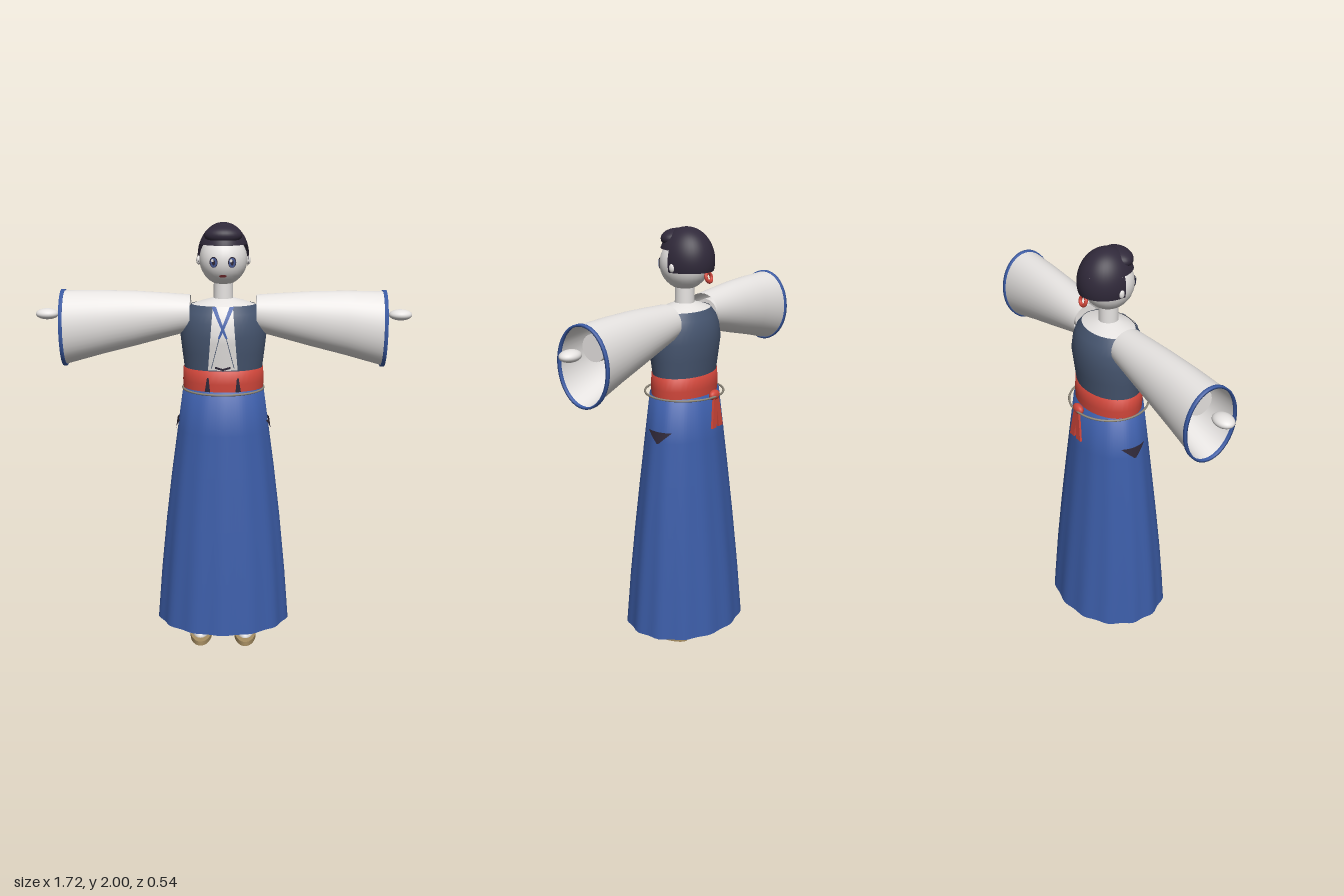
import * as THREE from 'three';

const mat = (name, color, double) => {
  const m = new THREE.MeshStandardMaterial({ color });
  m.name = name;
  if (double) m.side = THREE.DoubleSide;
  return m;
};

// Smooth skin over elliptical rings [y, rx, rz, xOffset]; flute adds folds at the low end
function loft(rings, n = 40, flute = 0, folds = 14) {
  const pos = [], idx = [];
  rings.forEach(([y, rx, rz, ox = 0], i) => {
    for (let j = 0; j < n; j++) {
      const a = (j / n) * Math.PI * 2;
      const f = 1 + flute * (1 - i / (rings.length - 1)) * Math.cos(a * folds);
      pos.push(ox + rx * f * Math.sin(a), y, rz * f * Math.cos(a));
      if (i < rings.length - 1) {
        const k = (j + 1) % n, p = i * n, q = p + n;
        idx.push(p + j, p + k, q + k, p + j, q + k, q + j);
      }
    }
  });
  const g = new THREE.BufferGeometry();
  g.setAttribute('position', new THREE.Float32BufferAttribute(pos, 3));
  g.setIndex(idx);
  g.computeVertexNormals();
  return g;
}

// Radii of a lofted body at height y
function radiiAt(rings, y) {
  let i = 0;
  while (i < rings.length - 2 && rings[i + 1][0] < y) i++;
  const a = rings[i], b = rings[i + 1], t = (y - a[0]) / (b[0] - a[0]);
  return [a[1] + (b[1] - a[1]) * t, a[2] + (b[2] - a[2]) * t];
}

// Thin four-cornered patch laid on a surface z = depth(x, y); corners run counterclockwise
function patch(depth, c, n = 8) {
  const g = new THREE.PlaneGeometry(1, 1, n, n), p = g.attributes.position;
  const mix = (k, u, v) => (c[0][k] * (1 - u) + c[1][k] * u) * (1 - v) + (c[3][k] * (1 - u) + c[2][k] * u) * v;
  for (let i = 0; i < p.count; i++) {
    const u = p.getX(i) + 0.5, v = p.getY(i) + 0.5;
    const x = mix(0, u, v), y = mix(1, u, v);
    p.setXYZ(i, x, y, depth(x, y));
  }
  g.computeVertexNormals();
  return g;
}

export function createModel() {
  const root = new THREE.Group();
  const white = mat('white', 0xe6e3e1, true), blue = mat('blue', 0x3c5da8, true);
  const slate = mat('slate', 0x46556f, true), red = mat('red', 0xd0463a, true);
  const dark = mat('dark', 0x30293a, true), tan = mat('tan', 0xa88f63);
  const iris = mat('iris', 0x4a5c98, true), cordGrey = mat('cordGrey', 0x8b8578);
  const lip = mat('lip', 0x9c3c40, true);

  const add = (name, geo, m, x = 0, y = 0, z = 0, parent = root) => {
    const mesh = new THREE.Mesh(geo, m);
    mesh.name = name;
    mesh.position.set(x, y, z);
    parent.add(mesh);
    return mesh;
  };
  const ball = (name, m, r, p, parent) => {
    const mesh = add(name, new THREE.SphereGeometry(1, 28, 20), m, ...p, parent);
    mesh.scale.set(...r);
    return mesh;
  };

  // Skirt with soft folds and closed hem
  const skirt = [[0.1, 0, 0], [0.1, 0.318, 0.265], [0.1, 0.318, 0.265], [0.35, 0.298, 0.244],
    [0.6, 0.273, 0.218], [0.85, 0.243, 0.191], [1.05, 0.215, 0.17], [1.25, 0.187, 0.148], [1.25, 0, 0]];
  add('skirt', loft(skirt, 84, 0.02), blue);

  // Sash, vest and shoulder yoke
  const sash = [[1.23, 0.184, 0.135], [1.285, 0.187, 0.137], [1.345, 0.184, 0.135], [1.345, 0.15, 0.1]];
  add('sash', loft(sash), red);
  const vest = [[1.33, 0.178, 0.128], [1.42, 0.189, 0.14], [1.5, 0.198, 0.15], [1.56, 0.19, 0.142],
    [1.6, 0.175, 0.128], [1.635, 0.145, 0.105]];
  add('vest', loft(vest), slate);
  add('yoke', loft([[1.632, 0.146, 0.106], [1.648, 0.1, 0.078], [1.662, 0.045, 0.042]]), white);
  add('neck', new THREE.CylinderGeometry(0.043, 0.045, 0.12, 28), white, 0, 1.7, 0);

  // Shirt front, crossed collar bands and belt slits
  const on = (rings, lift) => (x, y) => {
    const [rx, rz] = radiiAt(rings, y);
    return rz * Math.sqrt(Math.max(0, 1 - (x / rx) ** 2)) + lift;
  };
  add('shirtFront', patch(on(vest, 0.003), [[-0.067, 1.35], [0.067, 1.35], [0.045, 1.635], [-0.045, 1.635]], 14), white);
  for (const s of [-1, 1]) {
    const flip = (c) => (s > 0 ? c : c.map(([x, y]) => [-x, y]).reverse());
    add('collarBand', patch(on(vest, s > 0 ? 0.006 : 0.007),
      flip([[-0.022, 1.5], [-0.012, 1.5], [0.05, 1.635], [0.03, 1.635]])), blue);
    add('shirtEdge', patch(on(vest, 0.005), flip([[0.012, 1.51], [0.05, 1.36], [0.053, 1.36], [0.015, 1.51]])), slate);
    add('shirtHem', patch(on(vest, 0.008), flip([[0, 1.35], [0.035, 1.36], [0.035, 1.37], [0, 1.36]])), dark);
    add('sashSlit', patch(on(sash, 0.004), flip([[0.057, 1.245], [0.083, 1.245], [0.072, 1.315], [0.064, 1.315]])), dark);

    // Dark side opening of the skirt
    const side = (u, y) => {
      const [rx, rz] = radiiAt(skirt, y);
      return rx * 1.015 * Math.sqrt(1 - (u / rz) ** 2) + 0.004;
    };
    add('sideOpening', patch(side, [[-0.004, 1.045], [0.004, 1.045], [0.063, 1.1], [-0.063, 1.1]]), dark)
      .rotation.y = s * Math.PI / 2;
  }

  // Loose cord round the waist
  const cord = add('waistCord', new THREE.TorusGeometry(0.18, 0.005, 8, 64), cordGrey, 0, 1.247, 0.002);
  cord.rotation.x = Math.PI / 2;
  cord.scale.x = 1.04;

  // Knot and tails at the back
  ball('knot', red, [0.034, 0.024, 0.02], [0, 1.25, -0.163]);
  for (const s of [-1, 1]) {
    const tail = new THREE.Shape([[0, 0], [0.02, -0.01], [0.044, -0.15], [0.01, -0.15], [-0.008, -0.01]]
      .map(([x, y]) => new THREE.Vector2(x * s, y)));
    add('sashTail', new THREE.ExtrudeGeometry(tail, { depth: 0.01, bevelEnabled: false }), red, 0, 1.25, -0.175)
      .rotation.x = 0.06;
  }

  // Arms: wide sleeve, trim, forearm and hand
  const sleeve = [[0.15, 0.083, 0.085, -1.592], [0.25, 0.1, 0.092, -1.582], [0.4, 0.125, 0.101, -1.566],
    [0.56, 0.147, 0.112, -1.547], [0.73, 0.17, 0.123, -1.522]];
  const trim = [[0.722, 0.168, 0.121, -1.522], [0.722, 0.176, 0.129, -1.522], [0.738, 0.176, 0.129, -1.522],
    [0.738, 0.166, 0.119, -1.522], [0.722, 0.168, 0.121, -1.522]];
  for (const s of [1, -1]) {
    const arm = new THREE.Group();
    arm.name = s > 0 ? 'leftArm' : 'rightArm';
    arm.rotation.y = s > 0 ? 0 : Math.PI;
    root.add(arm);
    add('sleeve', loft(sleeve).rotateZ(-Math.PI / 2), white, 0, 0, 0, arm);
    add('sleeveTrim', loft(trim).rotateZ(-Math.PI / 2), blue, 0, 0, 0, arm);
    add('forearm', new THREE.CylinderGeometry(0.058, 0.058, 0.48, 28).rotateZ(Math.PI / 2), white, 0.42, 1.585, 0, arm);
    ball('hand', white, [0.053, 0.025, 0.041], [0.807, 1.585, 0], arm);
  }

  // Head and ears
  const headR = [0.108, 0.115, 0.115];
  ball('head', white, headR, [0, 1.835, 0]);
  const face = (lift) => (x, y) =>
    headR[2] * Math.sqrt(1 - (x / headR[0]) ** 2 - ((y - 1.835) / headR[1]) ** 2) + lift;
  const oval = (name, m, cx, cy, rx, ry, lift) => {
    const g = new THREE.CircleGeometry(1, 20), p = g.attributes.position;
    for (let i = 0; i < p.count; i++) {
      const x = cx + p.getX(i) * rx, y = cy + p.getY(i) * ry;
      p.setXYZ(i, x, y, face(lift)(x, y));
    }
    g.computeVertexNormals();
    add(name, g, m);
  };
  for (const s of [-1, 1]) {
    ball('ear', white, [0.01, 0.02, 0.013], [s * 0.113, 1.83, -0.008]);
    oval('eyeOutline', dark, s * 0.041, 1.832, 0.018, 0.024, 0.003);
    oval('iris', iris, s * 0.041, 1.831, 0.015, 0.021, 0.005);
    oval('pupil', dark, s * 0.041, 1.831, 0.007, 0.012, 0.006);
    oval('eyeGlint', white, s * 0.041 - 0.005, 1.84, 0.006, 0.007, 0.008);
  }
  oval('mouth', lip, 0, 1.77, 0.017, 0.007, 0.004);

  // Hair: crown with straight fringe, back to the nape, swept tuft
  const hair = new THREE.Group();
  hair.name = 'hair';
  root.add(hair);
  const shell = (name, ...angles) => {
    add(name, new THREE.SphereGeometry(1, 40, 20, ...angles), dark, 0, 1.85, -0.012, hair).scale.set(0.116, 0.148, 0.13);
  };
  shell('crown', 0, Math.PI * 2, 0, 1.2);
  shell('backHair', Math.PI - 0.2, Math.PI + 0.4, 1.2, 0.66);
  ball('tuft', dark, [0.085, 0.042, 0.06], [0, 1.945, 0.045], hair);

  // Hair ring at the nape
  add('hairRing', new THREE.TorusGeometry(0.021, 0.008, 10, 28), red, 0, 1.785, -0.128).rotation.x = 0.3;

  // Feet and sandals
  for (const s of [-1, 1]) {
    const x = s * 0.108;
    add('sole', new THREE.CylinderGeometry(1, 1, 0.022, 36), tan, x, 0.011, 0.045).scale.set(0.053, 1, 0.13);
    const foot = add('foot', new THREE.SphereGeometry(1, 28, 12, 0, Math.PI * 2, 0, Math.PI / 2), white, x, 0.037, 0.045);
    foot.scale.set(0.048, 0.048, 0.12);
    const base = add('footBase', new THREE.CircleGeometry(1, 28), white, x, 0.037, 0.045);
    base.rotation.x = Math.PI / 2;
    base.scale.set(0.048, 0.12, 1);
    add('sandalStrap', new THREE.CylinderGeometry(0.008, 0.01, 0.03, 12), red, x, 0.082, 0.09);
  }
  return root;
}
